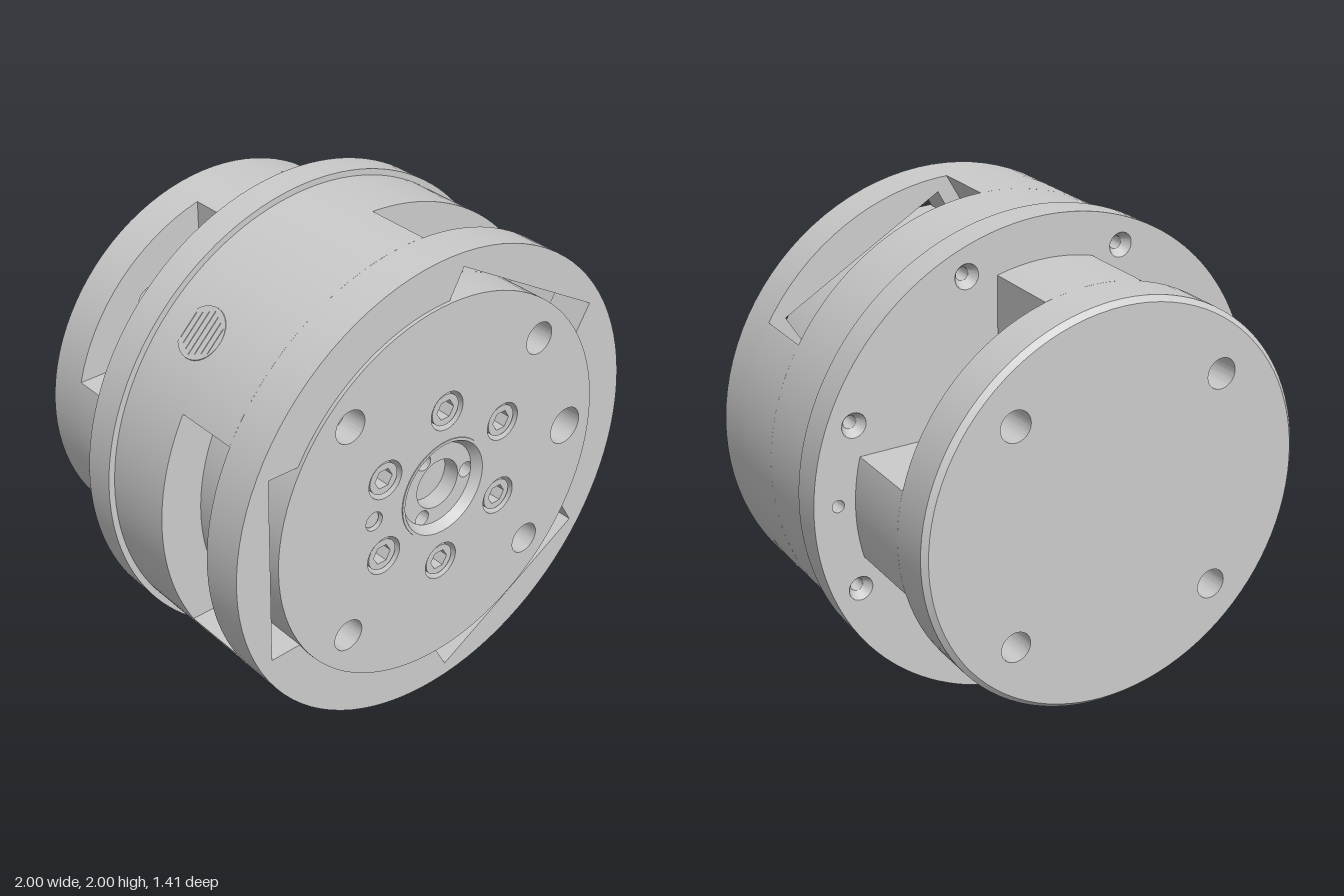
import * as THREE from 'three';
import { toCreasedNormals } from 'three/addons/utils/BufferGeometryUtils.js';

const TAU = Math.PI * 2;
const material = new THREE.MeshStandardMaterial({ color: 0xcccccc, side: THREE.DoubleSide });
const polar = (r, a) => [r * Math.cos(a), r * Math.sin(a)];

function circle(r, holes = []) {
  const shape = new THREE.Shape().absarc(0, 0, r, 0, TAU, false);
  for (const [x, y, hr] of holes) shape.holes.push(new THREE.Path().absarc(x, y, hr, 0, TAU, true));
  return shape;
}

export function createModel() {
  const model = new THREE.Group();
  const unit = new THREE.Group();
  unit.name = 'wheelUnit';
  unit.position.y = 1;
  model.add(unit);

  function add(name, geometry, x = 0, y = 0, z = 0) {
    const mesh = new THREE.Mesh(geometry, material);
    mesh.name = name;
    mesh.position.set(x, y, z);
    unit.add(mesh);
    return mesh;
  }
  // Extrude a shape along the axle from z0 to z1
  function slab(shape, z0, z1, segments = 48) {
    const g = new THREE.ExtrudeGeometry(shape, { depth: z1 - z0, bevelEnabled: false, curveSegments: segments });
    g.translate(0, 0, z0);
    return toCreasedNormals(g, 0.5);
  }
  // Lathe around the axle; points are [radius, z]
  const turned = (points, segments = 40) => toCreasedNormals(
    new THREE.LatheGeometry(points.map(p => new THREE.Vector2(...p)), segments).rotateX(Math.PI / 2), 0.5);

  const R = 0.975, CORE = 0.8;
  const slotAngles = [Math.PI / 3, Math.PI, Math.PI * 5 / 3];

  // Solid rear part of the drum
  add('drumRear', slab(circle(R), -0.05, 0.25, 72));

  // Drum section with three side slots cut down to the core
  const slotted = new THREE.Shape();
  const outer = Math.asin(0.465 / R), inner = Math.asin(0.465 / CORE);
  slotted.moveTo(...polar(CORE, slotAngles[0] - inner));
  slotAngles.forEach((a, i) => {
    const next = a + TAU / 3;
    slotted.absarc(0, 0, CORE, a - inner, a + inner, false);
    slotted.lineTo(...polar(R, a + outer));
    slotted.absarc(0, 0, R, a + outer, next - outer, false);
    if (i < 2) slotted.lineTo(...polar(CORE, next - inner));
  });
  slotted.closePath();
  add('slottedDrum', slab(slotted, 0.25, 0.52));

  // Front rim, its opening widened by a flat recess in front of each slot
  const rim = circle(R);
  const opening = new THREE.Path();
  const half = 0.4, flat = 0.825, bump = Math.asin(half / (CORE + 0.005));
  const corner = Math.atan2(half, flat), cornerR = Math.hypot(half, flat);
  opening.moveTo(...polar(CORE, slotAngles[0] - bump));
  slotAngles.forEach(a => {
    opening.lineTo(...polar(cornerR, a - corner));
    opening.lineTo(...polar(cornerR, a + corner));
    opening.lineTo(...polar(CORE, a + bump));
    opening.absarc(0, 0, CORE, a + bump, a + TAU / 3 - bump, false);
  });
  rim.holes.push(opening);
  add('frontRim', slab(rim, 0.52, 0.69));

  // Front plate with bolt wells, corner holes, pin holes and hub opening
  add('core', slab(circle(CORE), 0.5, 0.6));
  const boltSpots = Array.from({ length: 6 }, (_, i) => polar(0.345, Math.PI / 6 + i * TAU / 6));
  const plateHoles = [[0, 0, 0.212], [-0.35, 0.01, 0.04], [0.66, 0, 0.08]];
  for (const x of [-0.47, 0.47]) for (const y of [-0.465, 0.475]) plateHoles.push([x, y, 0.067]);
  for (const [x, y] of boltSpots) plateHoles.push([x, y, 0.08]);
  add('frontPlate', slab(circle(CORE, plateHoles), 0.6, 0.705));

  // Hex socket bolts
  const head = circle(0.066);
  head.holes.push(new THREE.Path(Array.from({ length: 6 }, (_, i) => new THREE.Vector2(...polar(0.042, i * TAU / 6)))));
  const boltGeometry = slab(head, 0.6, 0.695, 16);
  for (const [x, y] of boltSpots) add('socketBolt', boltGeometry, x, y);
  add('pin', turned([[0, 0.69], [0.034, 0.69], [0.034, 0.6]]), -0.35, 0.01);

  // Recessed hub with a chamfered lip, a bore and three small holes
  add('hubLip', turned([[0.212, 0.6], [0.212, 0.708], [0.2, 0.708], [0.175, 0.67]]));
  const hubHoles = [0, 1, 2].map(i => [...polar(0.147, i * TAU / 3), 0.033]);
  add('hubFloor', slab(circle(0.205, [[0, 0, 0.105], ...hubHoles]), 0.6, 0.67, 24));

  // Rear flange with countersunk holes
  const flangeSpots = Array.from({ length: 8 }, (_, i) => polar(0.89, (i + 0.5) * TAU / 8));
  const flangeHoles = flangeSpots.map(([x, y]) => [x, y, 0.05]);
  add('flange', slab(circle(1, [...flangeHoles, [0.9, 0.03, 0.025]]), -0.18, -0.05, 72));
  const sink = turned([[0.05, -0.18], [0.026, -0.145], [0.026, -0.05]], 20);
  for (const [x, y] of flangeSpots) add('countersink', sink, x, y);

  // Cross-shaped spacer: four posts with rounded inner corners
  const W = 0.21, F = 0.2, REAR = 0.83, post = Math.asin(W / REAR);
  const cross = new THREE.Shape();
  cross.moveTo(...polar(REAR, -post));
  for (let i = 0; i < 4; i++) {
    const a = i * Math.PI / 2;
    const [cx, cy] = polar((W + F) * Math.SQRT2, a + Math.PI / 4);
    cross.absarc(0, 0, REAR, a - post, a + post, false);
    cross.absarc(cx, cy, F, a - Math.PI / 2, a - Math.PI, true);
  }
  cross.closePath();
  add('crossSpacer', slab(cross, -0.51, -0.18, 16));

  // Rear disc with four through holes and a chamfered back edge
  const rearHoles = [];
  for (const x of [-0.45, 0.45]) for (const y of [-0.45, 0.45]) rearHoles.push([x, y, 0.063]);
  const rearShape = circle(REAR, rearHoles);
  add('rearDisc', slab(rearShape, -0.68, -0.51));
  const cap = slab(rearShape, -0.7, -0.68);
  const p = cap.attributes.position;
  for (let i = 0; i < p.count; i++) {
    if (p.getZ(i) < -0.69 && Math.hypot(p.getX(i), p.getY(i)) > 0.8) {
      p.setXY(i, p.getX(i) * 0.975, p.getY(i) * 0.975);
    }
  }
  add('rearChamfer', toCreasedNormals(cap, 0.5));

  // Round vent on the upper side of the drum
  const vent = new THREE.Group();
  vent.name = 'vent';
  vent.position.set(...polar(R, Math.PI * 0.75), 0.15);
  vent.rotation.z = Math.PI / 4;
  const grille = new THREE.Mesh(new THREE.CylinderGeometry(0.105, 0.105, 0.02, 32), material);
  grille.name = 'ventDisc';
  grille.position.y = -0.009;
  vent.add(grille);
  for (let i = -3; i <= 3; i++) {
    const bar = new THREE.Mesh(new THREE.BoxGeometry(0.18 - Math.abs(i) * 0.025, 0.008, 0.009), material);
    bar.name = 'ventBar';
    bar.position.z = i * 0.026;
    vent.add(bar);
  }
  unit.add(vent);
  return model;
}
